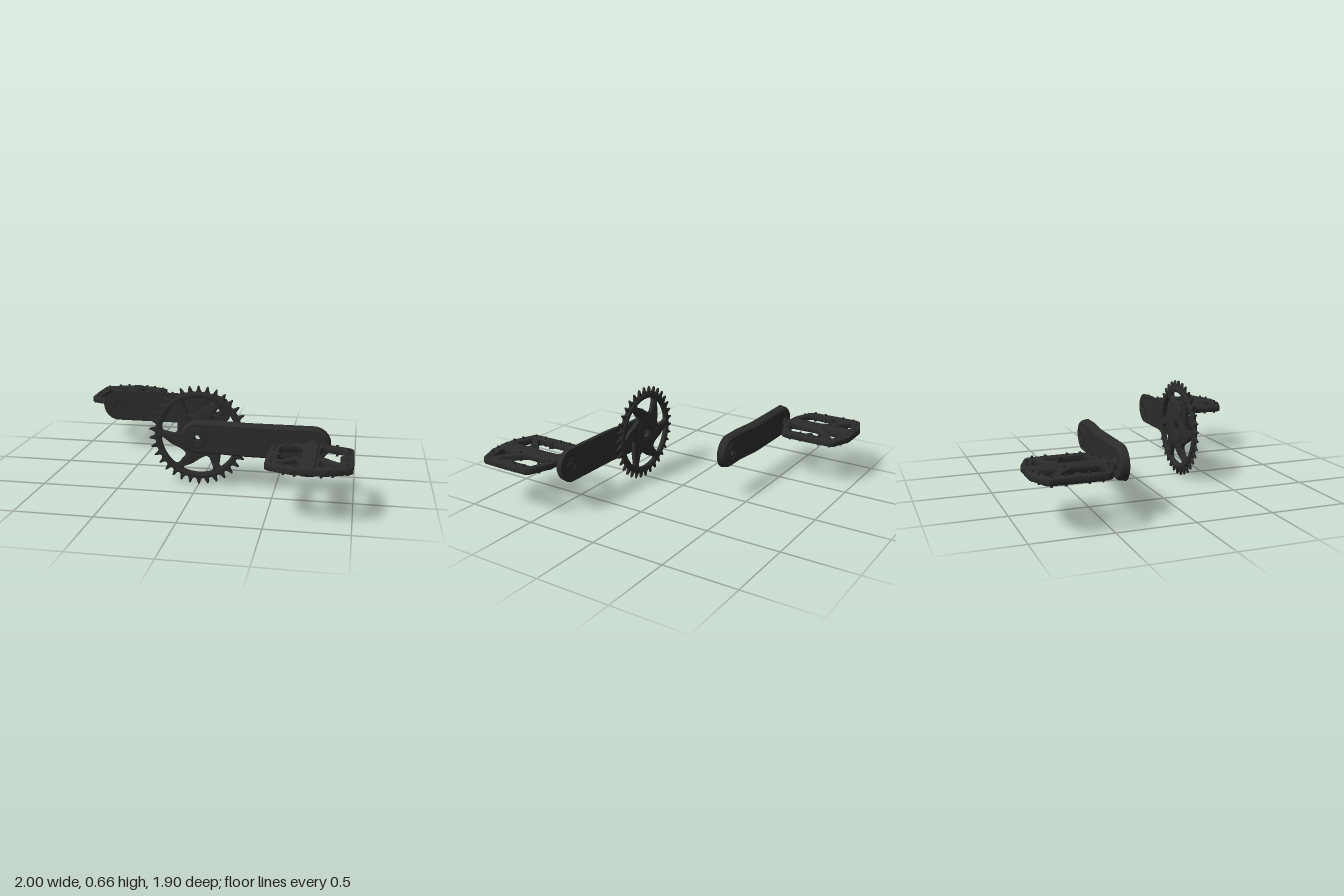
import * as THREE from 'three';
import { toCreasedNormals } from 'three/addons/utils/BufferGeometryUtils.js';
import { RoundedBoxGeometry } from 'three/addons/geometries/RoundedBoxGeometry.js';

const AXIS_Y = 0.332, ARM = 0.11, PEDAL_X = 0.742;
const black = new THREE.MeshStandardMaterial({ color: 0x2b2b2b });
black.name = 'satin black';

function add(parent, name, geometry, x = 0, y = 0, z = 0) {
  const mesh = new THREE.Mesh(geometry, black);
  mesh.name = name;
  mesh.position.set(x, y, z);
  parent.add(mesh);
  return mesh;
}

const polar = (r, a) => new THREE.Vector2(r * Math.cos(a), r * Math.sin(a));
const points = (list) => list.map(([x, y]) => new THREE.Vector2(x, y));

function circle(r, n) {
  return Array.from({ length: n }, (_, i) => polar(r, (i / n) * Math.PI * 2));
}

// Flat washer-like ring facing z, centred on its own thickness
function washer(outer, inner, depth, sides = 40, holeSides = sides) {
  const shape = new THREE.Shape(circle(outer, sides));
  shape.holes.push(new THREE.Path(circle(inner, holeSides)));
  const g = new THREE.ExtrudeGeometry(shape, {
    depth: depth - 0.006, bevelSize: 0.003, bevelThickness: 0.003, bevelOffset: -0.003, bevelSegments: 1,
  }).translate(0, 0, -depth / 2 + 0.003);
  return toCreasedNormals(g, 0.6);
}

// Narrows a straight slab towards its outer face and offsets it along the arm's bend
function shapeArm(g, round, cx = 0) {
  const p = g.attributes.position;
  for (let i = 0; i < p.count; i++) {
    const x = p.getX(i), y = p.getY(i), t = p.getZ(i);
    const s = 1 - 0.09 * t - 0.07 * Math.max(0, (t - 0.75) / 0.25);
    const inHole = Math.hypot(x, y) < 0.03;
    const bend = THREE.MathUtils.smoothstep(x, 0.1, 0.36);
    const outside = (x - cx) * round > 0;
    p.setXYZ(i, outside && !inHole ? cx + (x - cx) * s : x, inHole ? y : y * s,
      0.335 + 0.021 * bend + t * (0.05 + 0.003 * bend));
  }
  return toCreasedNormals(g, 0.35);
}

// Half disc joined to a short straight length
function armEnd(cx, side, flatX, hole) {
  const s = new THREE.Shape();
  s.moveTo(flatX, -ARM * side);
  s.lineTo(flatX, ARM * side);
  s.lineTo(cx, ARM * side);
  for (let i = 1; i <= 24; i++) {
    const a = Math.PI / 2 - (i / 24) * Math.PI;
    s.lineTo(cx + side * ARM * Math.cos(a), side * ARM * Math.sin(a));
  }
  if (hole) s.holes.push(new THREE.Path(circle(0.022, 6)));
  const g = new THREE.ExtrudeGeometry(s, { depth: 1, steps: 4, bevelEnabled: false });
  return shapeArm(g, side, cx);
}

function makeArm() {
  const arm = new THREE.Group();
  arm.name = 'crankArm';
  add(arm, 'armHubEnd', armEnd(0, -1, 0.1, true));
  const bar = new THREE.BoxGeometry(0.3, ARM * 2, 1, 16, 1, 4).translate(0.25, 0, 0.5);
  add(arm, 'armBar', shapeArm(bar, 0));
  add(arm, 'armPedalEnd', armEnd(0.74, 1, 0.4, false));
  add(arm, 'hubBolt', washer(0.068, 0.022, 0.012, 40, 6), 0, 0, 0.384);
  add(arm, 'boltLip', new THREE.TorusGeometry(0.048, 0.005, 8, 40), 0, 0, 0.39);
  add(arm, 'spindleSocket', washer(0.06, 0.035, 0.012), 0, 0, 0.333);
  add(arm, 'axleSeat', washer(0.05, 0.03, 0.008), 0.74, 0, 0.354);
  add(arm, 'axleEnd', washer(0.024, 0.012, 0.008, 32, 6), 0.74, 0, 0.354);
  return arm;
}

function makePedal() {
  const pedal = new THREE.Group();
  pedal.name = 'pedal';
  pedal.position.set(PEDAL_X, 0.004, 0.697);

  // Platform with two windows on each side of the spine
  const half = [[0.09, -0.25], [0.232, -0.195], [0.252, -0.165], [0.256, 0], [0.252, 0.175], [0.235, 0.197], [0.1, 0.252]];
  const mirrored = half.map(([x, z]) => [-x, z]).reverse();
  const frame = new THREE.Shape(points([...half, ...mirrored]));
  const windows = [
    [[0.19, -0.155], [0.18, -0.168], [0.09, -0.2], [0.07, -0.195], [0.055, -0.17], [0.053, -0.03], [0.07, 0.005],
      [0.165, 0.09], [0.18, 0.092], [0.19, 0.08]],
    [[0.06, 0.085], [0.072, 0.08], [0.18, 0.148], [0.182, 0.16], [0.075, 0.19], [0.06, 0.182]],
  ];
  for (const w of windows) for (const s of [1, -1]) {
    frame.holes.push(new THREE.Path(points(w.map(([x, z]) => [x * s, z]))));
  }
  const body = new THREE.ExtrudeGeometry(frame, {
    depth: 0.028, bevelSize: 0.007, bevelThickness: 0.007, bevelOffset: -0.007, bevelSegments: 2,
  }).translate(0, 0, -0.014).rotateX(Math.PI / 2);
  add(pedal, 'platform', toCreasedNormals(body, 0.5));
  add(pedal, 'spine', new RoundedBoxGeometry(0.09, 0.058, 0.502, 3, 0.016));

  // Grip pins stand out of both faces
  const pin = new THREE.CylinderGeometry(0.008, 0.008, 0.07, 10);
  const spots = [[0.075, -0.215], [0.15, -0.195], [0.218, -0.14], [0.222, -0.06], [0.222, 0.075], [0.218, 0.155],
    [0.14, 0.205], [0.075, 0.225], [0.06, 0.04]];
  for (const [x, z] of spots) for (const s of [1, -1]) add(pedal, 'gripPin', pin, x * s, 0, z);
  for (const s of [1, -1]) {
    add(pedal, 'sideBoss', new THREE.CylinderGeometry(0.023, 0.023, 0.046, 20), 0.198 * s, 0, 0);
  }

  // Axle and its collar run into the arm
  add(pedal, 'axle', new THREE.CylinderGeometry(0.02, 0.02, 0.1, 24).rotateX(Math.PI / 2), 0, 0, -0.26);
  add(pedal, 'axleCollar', new THREE.CylinderGeometry(0.025, 0.034, 0.02, 24).rotateX(Math.PI / 2), 0, 0, -0.28);
  return pedal;
}

function makeChainring() {
  const ring = new THREE.Group();
  ring.name = 'chainring';
  ring.position.z = 0.316;

  // Toothed rim with pointed, slightly hooked teeth
  const teeth = 34, pitch = (Math.PI * 2) / teeth, outline = [];
  for (let i = 0; i < teeth; i++) {
    const a = i * pitch + Math.PI / 2;
    for (const [r, k] of [[0.29, -0.42], [0.296, -0.28], [0.326, -0.08], [0.331, 0], [0.326, 0.1], [0.298, 0.24], [0.29, 0.36]]) {
      outline.push(polar(r, a + k * pitch));
    }
  }
  const toothShape = new THREE.Shape(outline);
  toothShape.holes.push(new THREE.Path(circle(0.262, 72)));
  const toothRim = new THREE.ExtrudeGeometry(toothShape, {
    depth: 0.008, bevelSize: 0.004, bevelThickness: 0.005, bevelOffset: -0.004, bevelSegments: 1,
  }).translate(0, 0, -0.004);
  add(ring, 'teeth', toCreasedNormals(toothRim, 0.5));

  // Spider with six swept windows
  const spider = new THREE.Shape(circle(0.284, 96));
  spider.holes.push(new THREE.Path(circle(0.034, 32)));
  const deg = Math.PI / 180;
  for (let i = 0; i < 6; i++) {
    const a = (30 + 60 * i) * deg, w = [];
    for (let k = -24; k <= 20; k += 4) w.push(polar(0.25, a + k * deg));
    for (const [r, k] of [[0.24, 24], [0.225, 25], [0.16, 27], [0.145, 23], [0.142, 15], [0.15, 6], [0.19, -11], [0.235, -25]]) {
      w.push(polar(r, a + k * deg));
    }
    spider.holes.push(new THREE.Path(w));
  }
  const plate = new THREE.ExtrudeGeometry(spider, {
    depth: 0.022, bevelSize: 0.004, bevelThickness: 0.004, bevelOffset: -0.004, bevelSegments: 2, curveSegments: 24,
  }).translate(0, 0, -0.011);
  add(ring, 'spider', toCreasedNormals(plate, 0.5));

  // Raised rim bands, bosses and the central mount
  add(ring, 'rimBand', washer(0.282, 0.262, 0.034, 72));
  add(ring, 'mount', washer(0.105, 0.05, 0.036, 48));
  const boss = new THREE.CylinderGeometry(0.009, 0.009, 0.034, 12).rotateX(Math.PI / 2);
  for (let i = 0; i < 6; i++) {
    const p = polar(0.245, (60 * i - 2) * deg);
    add(ring, 'spokeBoss', boss, p.x, p.y, 0);
    const rib = add(ring, 'spokeRib', new THREE.BoxGeometry(0.13, 0.012, 0.034));
    const q = polar(0.178, (60 * i + 3) * deg);
    rib.position.set(q.x, q.y, 0);
    rib.rotation.z = (60 * i - 14) * deg;
  }
  return ring;
}

export function createModel() {
  const model = new THREE.Group();
  model.name = 'crankset';
  const crank = new THREE.Group();
  crank.name = 'leftCrank';
  crank.add(makeArm(), makePedal());

  // The opposite crank is the same part turned half way round
  const opposite = crank.clone();
  opposite.name = 'rightCrank';
  opposite.rotation.y = Math.PI;
  opposite.children[1].position.y = -0.004;

  const drive = new THREE.Group();
  drive.name = 'drivetrain';
  drive.position.y = AXIS_Y;
  drive.add(crank, opposite, makeChainring());
  model.add(drive);
  return model;
}
